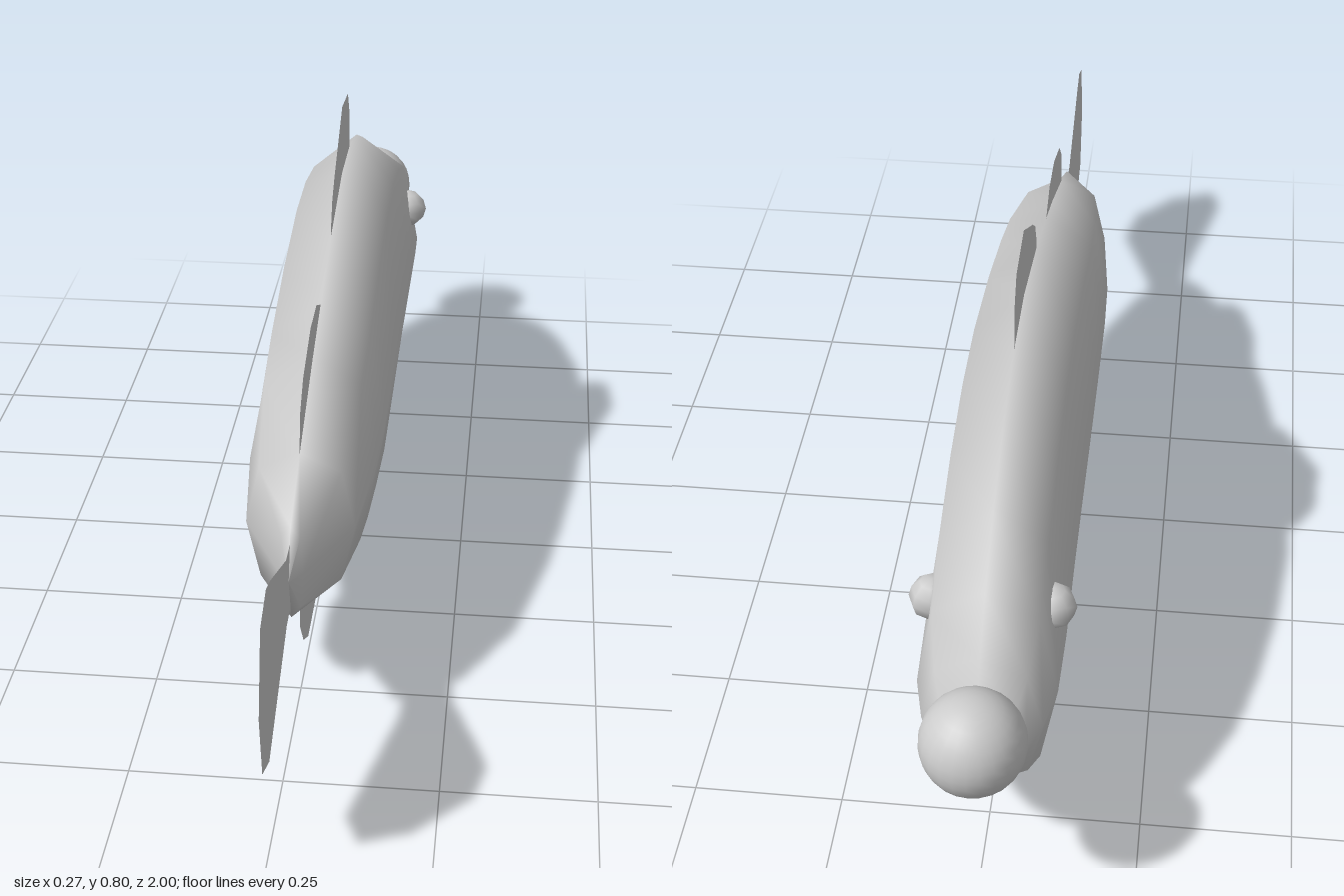
import * as THREE from 'three';

const grey = new THREE.MeshStandardMaterial({ color: 0xcccccc });
const thin = new THREE.MeshStandardMaterial({ color: 0xcccccc, side: THREE.DoubleSide });

// Body stations from tail to snout: z, top ridge, belly ridge, half width
const stations = [
  [0.65, 0.318, 0.314, 0], [0.62, 0.4, 0.23, 0.02], [0.49, 0.46, 0.19, 0.09],
  [0.3, 0.535, 0.135, 0.11], [0.18, 0.575, 0.1, 0.114], [0, 0.63, 0.05, 0.115],
  [-0.2, 0.672, 0.004, 0.115], [-0.35, 0.67, 0.012, 0.115], [-0.5, 0.637, 0.035, 0.115],
  [-0.64, 0.58, 0.06, 0.115], [-0.75, 0.51, 0.105, 0.112], [-0.82, 0.44, 0.165, 0.095],
  [-0.87, 0.385, 0.225, 0.073], [-0.895, 0.345, 0.265, 0.035], [-0.9, 0.307, 0.303, 0],
];

// Half section: share of width, share of height down from the ridge
const section = [[0, 0], [0.75, 0.12], [1, 0.5], [0.75, 0.88], [0, 1], [-0.75, 0.88], [-1, 0.5], [-0.75, 0.12]];

function bodyGeometry() {
  const positions = [], index = [], n = section.length;
  for (const [z, top, bottom, w] of stations) {
    for (const [u, v] of section) positions.push(u * w, top + (bottom - top) * v, z);
  }
  for (let i = 0; i < stations.length - 1; i++) {
    for (let j = 0; j < n; j++) {
      const a = i * n + j, b = i * n + (j + 1) % n;
      index.push(a, b, a + n, b, b + n, a + n);
    }
  }
  const geometry = new THREE.BufferGeometry();
  geometry.setAttribute('position', new THREE.Float32BufferAttribute(positions, 3));
  geometry.setIndex(index);
  geometry.computeVertexNormals();
  return geometry;
}

// Flat fins on the centre plane, outlined as (z, y)
const fins = {
  tailFin: [[0.6, 0.37], [0.68, 0.375], [0.86, 0.455], [0.905, 0.47], [0.97, 0.445], [1, 0.31],
    [0.975, 0.195], [0.9, 0.16], [0.68, 0.253], [0.6, 0.26]],
  dorsalFin: [[0, 0.58], [0, 0.65], [-0.02, 0.69], [-0.06, 0.72], [-0.2, 0.802], [-0.31, 0.79],
    [-0.34, 0.745], [-0.355, 0.62]],
  rearUpperFin: [[0.5, 0.42], [0.485, 0.525], [0.44, 0.568], [0.33, 0.605], [0.24, 0.605],
    [0.17, 0.573], [0.17, 0.52]],
  rearLowerFin: [[0.5, 0.22], [0.508, 0.135], [0.46, 0.075], [0.39, 0.035], [0.27, 0.035],
    [0.17, 0.1], [0.17, 0.15]],
};

export function createModel() {
  const model = new THREE.Group();
  const add = (name, geometry, material = grey) => {
    const mesh = new THREE.Mesh(geometry, material);
    mesh.name = name;
    model.add(mesh);
    return mesh;
  };

  add('body', bodyGeometry());

  for (const [name, outline] of Object.entries(fins)) {
    const shape = new THREE.Shape(outline.map(([z, y]) => new THREE.Vector2(z, y)));
    add(name, new THREE.ShapeGeometry(shape).rotateY(-Math.PI / 2), thin);
  }

  // Round ball on the snout
  add('nose', new THREE.SphereGeometry(0.083, 24, 16)).position.set(0, 0.365, -0.917);

  // Small low-poly eyes
  for (const side of [1, -1]) {
    const eye = add(side > 0 ? 'leftEye' : 'rightEye', new THREE.SphereGeometry(0.038, 8, 6));
    eye.position.set(side * 0.096, 0.413, -0.667);
  }
  return model;
}
